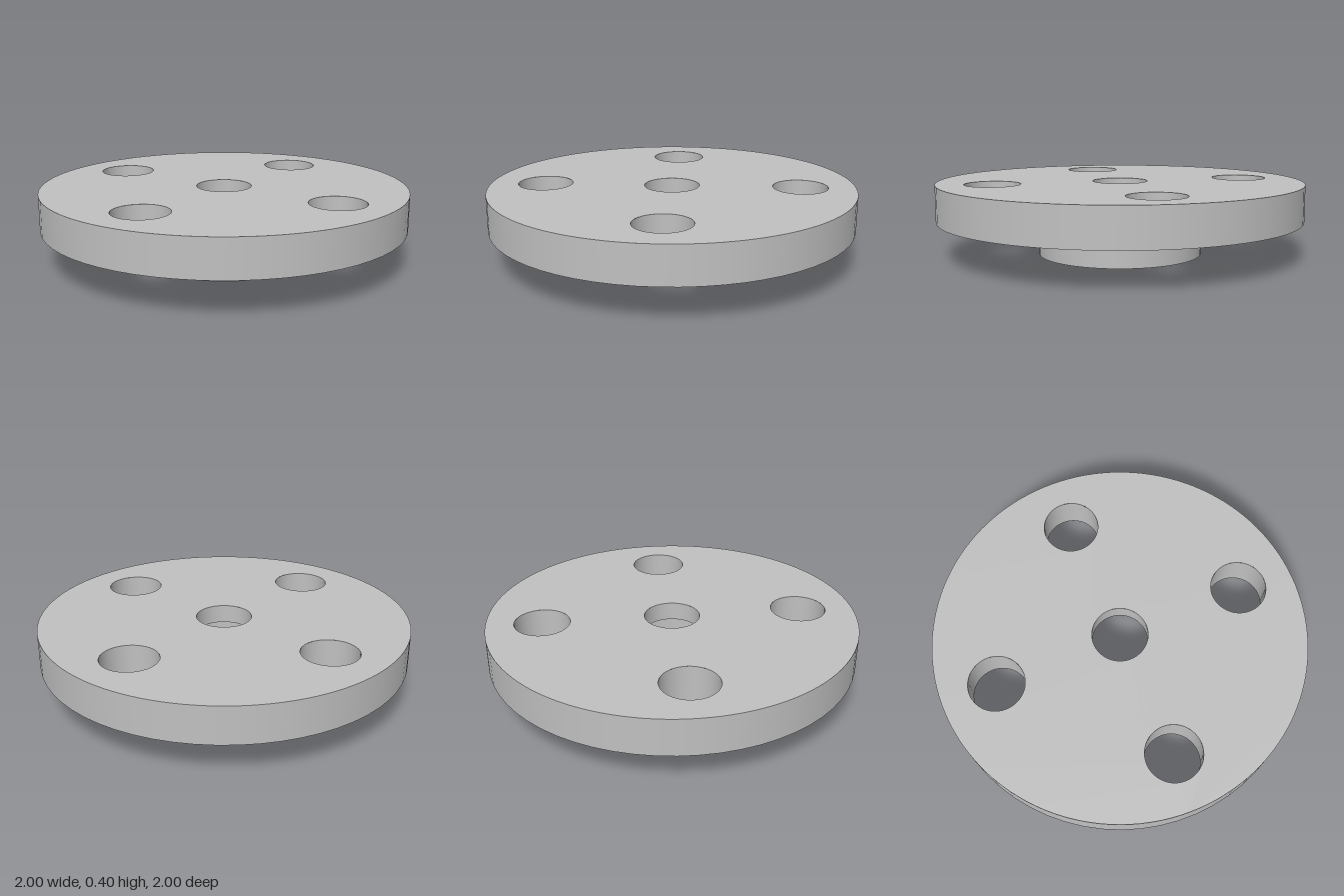
import * as THREE from 'three';

const SEGMENTS = 64;
const PLATE_TOP = 0.4, PLATE_BOTTOM = 0.2, LEDGE = 0.3;
const PLATE_R = 1, HUB_R = 0.45, COUNTERBORE_R = 0.3, HOLE_R = 0.15, BOLT_CIRCLE_R = 0.7;

export function createModel() {
  const steel = new THREE.MeshStandardMaterial({ color: 0xc0c0c0 });
  steel.name = 'steel grey';

  const model = new THREE.Group();
  model.name = 'flange';

  const part = (name) => {
    const group = new THREE.Group();
    group.name = name;
    model.add(group);
    return group;
  };
  const add = (parent, name, geometry) => {
    const mesh = new THREE.Mesh(geometry, steel);
    mesh.name = name;
    parent.add(mesh);
    return mesh;
  };

  // Round wall: faces outward when running up, inward when running down
  const wall = (r, yStart, yEnd) => new THREE.LatheGeometry(
    [new THREE.Vector2(r, yStart), new THREE.Vector2(r, yEnd)], SEGMENTS);

  // Flat disc at height y with round holes [x, z, radius], facing up or down
  const disc = (r, holes, y, up) => {
    const shape = new THREE.Shape().absarc(0, 0, r, 0, Math.PI * 2, false);
    for (const [x, z, hr] of holes) {
      shape.holes.push(new THREE.Path().absarc(x, z, hr, 0, Math.PI * 2, true));
    }
    return new THREE.ShapeGeometry(shape, SEGMENTS)
      .rotateX(up ? -Math.PI / 2 : Math.PI / 2)
      .translate(0, y, 0);
  };

  const boltHoles = [[1, 0], [0, 1], [-1, 0], [0, -1]]
    .map(([x, z]) => [x * BOLT_CIRCLE_R, z * BOLT_CIRCLE_R, HOLE_R]);

  // Round plate
  const plate = part('plate');
  add(plate, 'plateTop', disc(PLATE_R, [...boltHoles, [0, 0, HOLE_R]], PLATE_TOP, true));
  add(plate, 'plateUnderside', disc(PLATE_R, [...boltHoles, [0, 0, HUB_R]], PLATE_BOTTOM, false));
  add(plate, 'plateRim', wall(PLATE_R, PLATE_BOTTOM, PLATE_TOP));

  // Four bolt holes through the plate
  const bolts = part('boltHoles');
  for (const [x, z, r] of boltHoles) {
    add(bolts, 'boltHole', wall(r, PLATE_TOP, PLATE_BOTTOM)).position.set(x, 0, z);
  }

  // Hub under the plate
  const hub = part('hub');
  add(hub, 'hubWall', wall(HUB_R, 0, PLATE_BOTTOM));
  add(hub, 'hubFoot', disc(HUB_R, [[0, 0, COUNTERBORE_R]], 0, false));

  // Stepped centre bore: narrow at the top, wide below the ledge
  const bore = part('centreBore');
  add(bore, 'narrowBore', wall(HOLE_R, PLATE_TOP, LEDGE));
  add(bore, 'boreLedge', disc(COUNTERBORE_R, [[0, 0, HOLE_R]], LEDGE, false));
  add(bore, 'wideBore', wall(COUNTERBORE_R, LEDGE, 0));

  return model;
}
